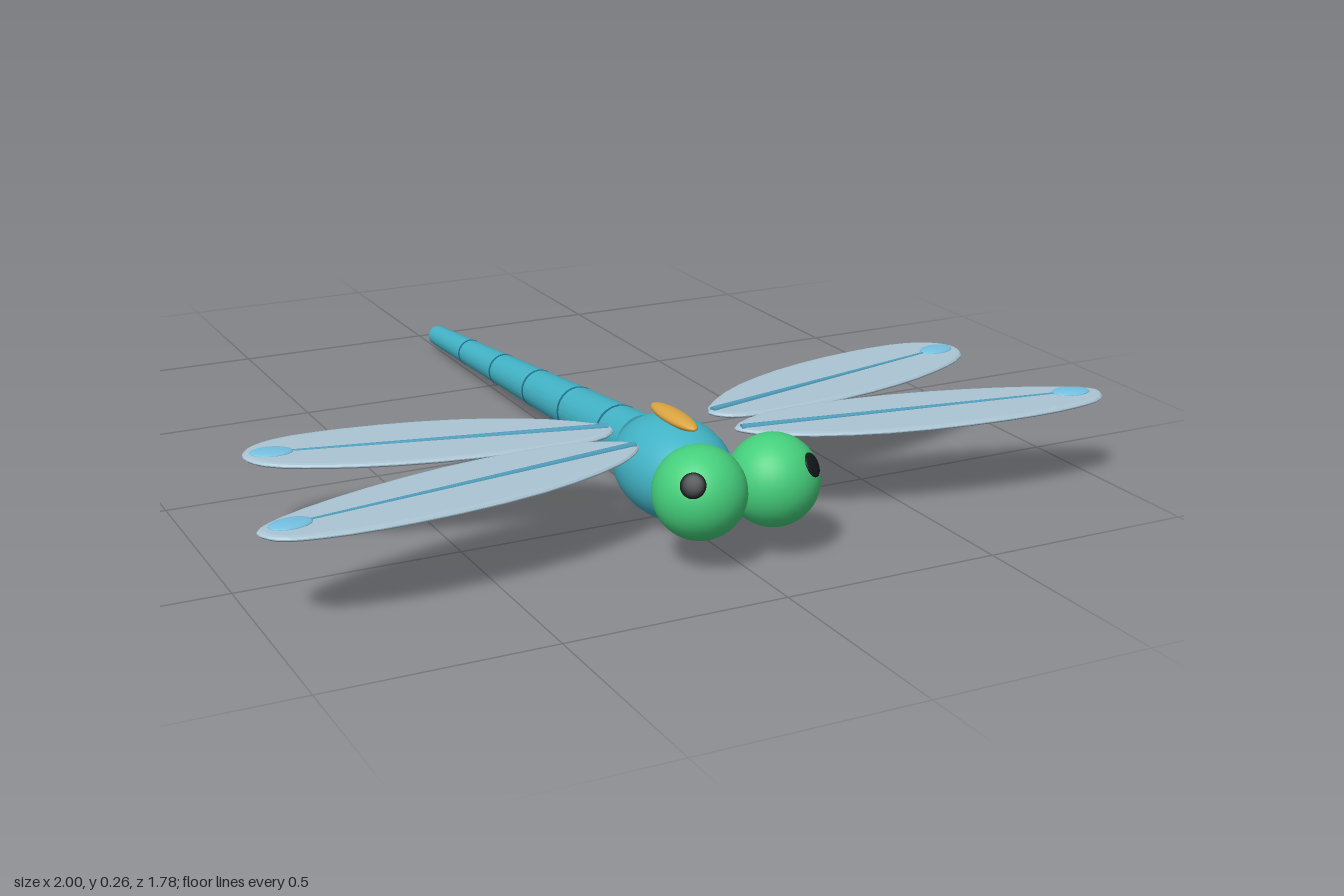
import * as THREE from 'three';

const mat = (name, color) => Object.assign(new THREE.MeshStandardMaterial({ color }), { name });

export function createModel() {
  const teal = mat('bodyTeal', 0x42b3c6);
  const dark = mat('darkTeal', 0x22708a);
  const green = mat('eyeGreen', 0x45cf7c);
  const black = mat('pupilBlack', 0x14181a);
  const gold = mat('markGold', 0xd9a441);
  const pale = mat('wingPale', 0xabc5d4);
  const blue = mat('veinBlue', 0x4f9fbe);
  const sky = mat('wingSpotBlue', 0x74c0e0);

  const model = new THREE.Group();
  model.name = 'dragonfly';
  const add = (name, geometry, material, parent = model) => {
    const mesh = new THREE.Mesh(geometry, material);
    mesh.name = name;
    parent.add(mesh);
    return mesh;
  };
  const ellipsoid = (name, material, pos, size, parent) => {
    const mesh = add(name, new THREE.SphereGeometry(1, 32, 20), material, parent);
    mesh.position.set(...pos);
    mesh.scale.set(...size);
    return mesh;
  };
  // Tapered rod from a (radius ra) to b (radius rb)
  const rod = (name, material, a, b, ra, rb, sides = 24, parent = model) => {
    const dir = b.clone().sub(a);
    const mesh = add(name, new THREE.CylinderGeometry(rb, ra, dir.length(), sides), material, parent);
    mesh.position.copy(a).add(b).multiplyScalar(0.5);
    mesh.quaternion.setFromUnitVectors(new THREE.Vector3(0, 1, 0), dir.normalize());
    return mesh;
  };

  // Thorax, neck and the mark on the back
  ellipsoid('thorax', teal, [0, 0.113, 0.51], [0.12, 0.113, 0.18]);
  ellipsoid('neck', teal, [0, 0.125, 0.695], [0.083, 0.083, 0.083]);
  ellipsoid('backMark', gold, [0, 0.23, 0.51], [0.026, 0.015, 0.097]);

  // Abdomen with thin rings and a dark tip
  const start = new THREE.Vector3(0, 0.122, 0.36);
  const end = new THREE.Vector3(0, 0.04, -0.86);
  const along = (t) => start.clone().lerp(end, t);
  const radius = (t) => THREE.MathUtils.lerp(0.064, 0.027, t);
  rod('abdomen', teal, start, end, radius(0), radius(1));
  for (let i = 0; i < 5; i++) {
    const t = (0.36 - (0.25 - i * 0.219)) / 1.22;
    rod('abdomenRing', dark, along(t - 0.003), along(t + 0.003), radius(t) + 0.001, radius(t) + 0.001);
  }
  rod('tailTip', dark, end, along(1.027), 0.026, 0.009, 12);

  // Wing outlines as x, z points, from root around the tip and back
  const wings = [
    {
      name: 'frontWing',
      outline: [[0.12, 0.565], [0.22, 0.51], [0.46, 0.51], [0.73, 0.565], [0.94, 0.645], [1.0, 0.695],
        [0.975, 0.745], [0.89, 0.77], [0.7, 0.775], [0.41, 0.735], [0.2, 0.655], [0.13, 0.595]],
      vein: [[0.13, 0.578], [0.92, 0.688]],
      spot: [0.93, 0.69],
    },
    {
      name: 'rearWing',
      outline: [[0.12, 0.45], [0.22, 0.345], [0.41, 0.255], [0.65, 0.205], [0.81, 0.205], [0.88, 0.24],
        [0.9, 0.285], [0.875, 0.345], [0.755, 0.415], [0.54, 0.48], [0.27, 0.51], [0.155, 0.495]],
      vein: [[0.13, 0.449], [0.83, 0.29]],
      spot: [0.84, 0.289],
    },
  ];
  for (const side of [1, -1]) {
    const label = side > 0 ? 'left' : 'right';

    // Eye with a pupil set into its surface
    const eye = new THREE.Group();
    eye.name = label + 'Eye';
    eye.position.set(side * 0.087, 0.165, 0.785);
    model.add(eye);
    ellipsoid('eyeball', green, [0, 0, 0], [0.1, 0.1, 0.1], eye);
    const look = new THREE.Vector3(side * 0.055, 0.048, 0.07).normalize();
    const pupil = ellipsoid('pupil', black, look.clone().multiplyScalar(0.097).toArray(), [0.027, 0.027, 0.007], eye);
    pupil.quaternion.setFromUnitVectors(new THREE.Vector3(0, 0, 1), look);

    for (const w of wings) {
      const wing = new THREE.Group();
      wing.name = label + w.name[0].toUpperCase() + w.name.slice(1);
      model.add(wing);

      // Thin bevelled membrane
      const curve = new THREE.CatmullRomCurve3(
        w.outline.map(([x, z]) => new THREE.Vector3(side * x, z, 0)), true);
      const shape = new THREE.Shape(curve.getPoints(36).slice(0, -1).map((p) => new THREE.Vector2(p.x, p.y)));
      const plate = new THREE.ExtrudeGeometry(shape, {
        depth: 0.002, bevelThickness: 0.005, bevelSize: 0.012, bevelOffset: -0.012, bevelSegments: 2,
      });
      plate.rotateX(Math.PI / 2);
      add('membrane', plate, pale, wing).position.y = 0.203;

      // Central vein and the spot near the tip
      const [a, b] = w.vein.map(([x, z]) => new THREE.Vector3(side * x, 0.206, z));
      rod('vein', blue, a, b, 0.009, 0.004, 8, wing);
      const spot = ellipsoid('wingSpot', sky, [side * w.spot[0], 0.208, w.spot[1]], [0.046, 0.007, 0.03], wing);
      spot.rotation.y = Math.atan2(-(b.z - a.z), b.x - a.x);
    }
  }
  return model;
}
